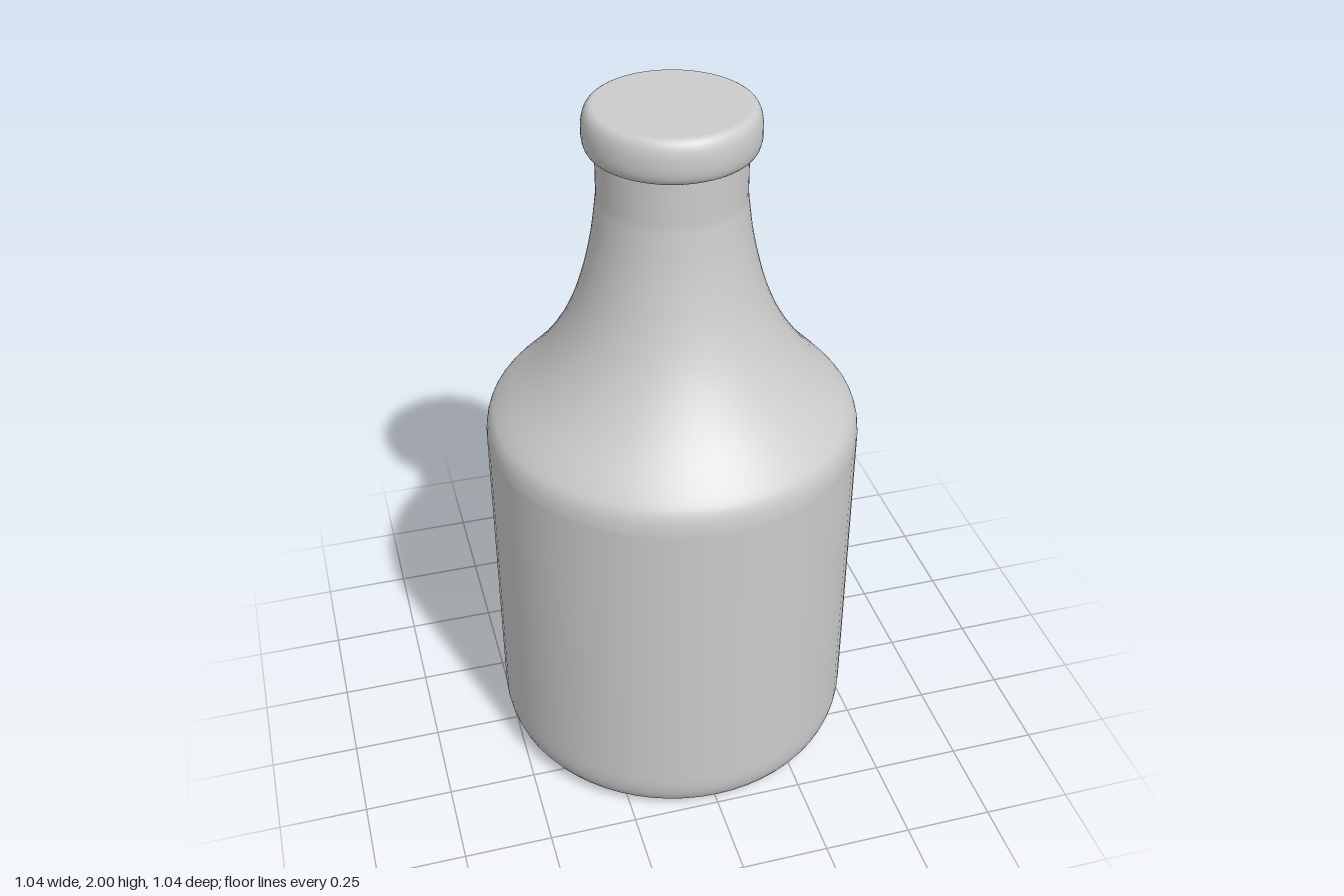
import * as THREE from 'three';

const SEGMENTS = 64;
const material = new THREE.MeshStandardMaterial({ color: 0xcccccc });

// Revolve a profile, listed from bottom to top, around the y axis
function revolve(name, points) {
  const mesh = new THREE.Mesh(new THREE.LatheGeometry(points, SEGMENTS), material);
  mesh.name = name;
  return mesh;
}

// Flat disc closing an end, facing up or down
function disc(name, radius, y, facing) {
  const mesh = new THREE.Mesh(new THREE.CircleGeometry(radius, SEGMENTS), material);
  mesh.rotation.x = -facing * Math.PI / 2;
  mesh.position.y = y;
  mesh.name = name;
  return mesh;
}

export function createModel() {
  const bottle = new THREE.Group();
  bottle.name = 'bottle';

  // Rounded base edge and straight wall
  const wall = new THREE.Path();
  wall.moveTo(0.435, 0);
  wall.bezierCurveTo(0.485, 0.003, 0.52, 0.04, 0.52, 0.12);
  wall.lineTo(0.52, 0.14);
  wall.lineTo(0.52, 1.03);

  // Rounded shoulder sweeping into the neck
  const shoulder = new THREE.SplineCurve([
    [0.52, 1.04], [0.512, 1.085], [0.485, 1.128], [0.386, 1.235], [0.307, 1.352],
    [0.254, 1.474], [0.217, 1.617], [0.199, 1.74],
  ].map(([x, y]) => new THREE.Vector2(x, y)));

  // Straight neck
  const neck = [new THREE.Vector2(0.197, 1.76), new THREE.Vector2(0.197, 1.89)];
  bottle.add(revolve('body', [...wall.getPoints(8), ...shoulder.getPoints(35), ...neck]));

  // Rounded lip around the mouth
  const lip = new THREE.Path();
  lip.moveTo(0.205, 1.88);
  lip.bezierCurveTo(0.222, 1.882, 0.23, 1.9, 0.23, 1.935);
  lip.bezierCurveTo(0.23, 1.975, 0.219, 1.999, 0.2, 2);
  bottle.add(revolve('lip', lip.getPoints(8)));

  // Flat underside of the lip
  bottle.add(revolve('lipUnderside', [new THREE.Vector2(0.19, 1.88), new THREE.Vector2(0.205, 1.88)]));

  // Closed ends
  bottle.add(disc('mouth', 0.2, 2, 1));
  bottle.add(disc('bottom', 0.435, 0, -1));
  return bottle;
}
